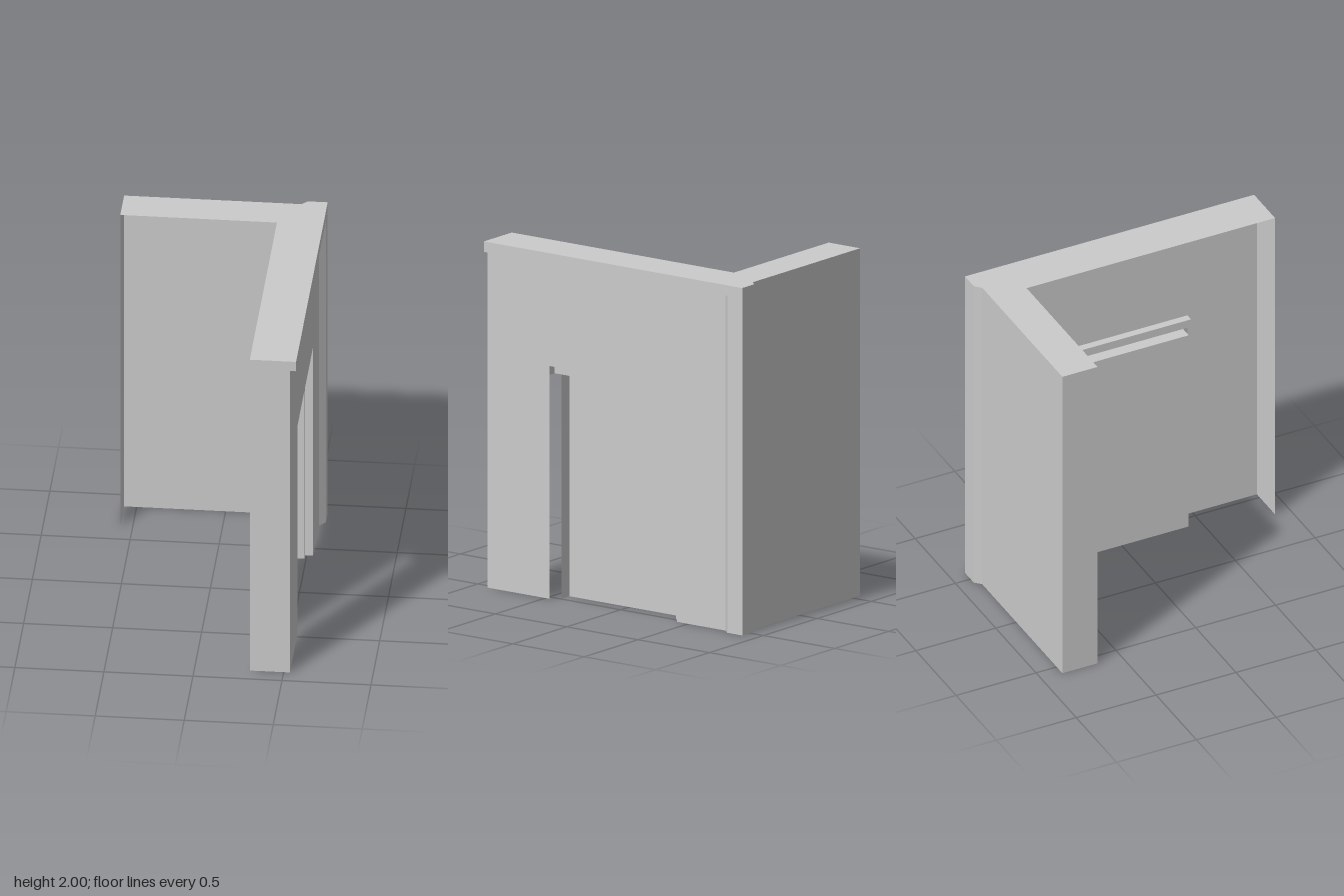
import * as THREE from 'three';

const material = new THREE.MeshStandardMaterial({ color: 0xcccccc, side: THREE.DoubleSide, flatShading: true });

// Main planes of the corner wall
const TOP = 2, RIM = 1.94;
const FACE = 0.535, RAISED = 0.57, INNER = 0.31;
const FRONT = 0.905, BACK = -0.87, BACK_RAISED = -0.905, BACK_INNER = -0.65, END = -0.57;
// Doorway: outer opening, door leaf and their depths
const OPEN = { front: 0.47, back: -0.42, top: 1.34 };
const DOOR = { front: 0.42, back: -0.38, top: 1.29 };
const FRAME_X = 0.49, DOOR_X = 0.42;

export function createModel() {
  const group = new THREE.Group();
  group.name = 'cornerWall';

  const add = (name, geometry) => {
    const mesh = new THREE.Mesh(geometry, material);
    mesh.name = name;
    group.add(mesh);
  };
  const flat = (points) => new THREE.ShapeGeometry(new THREE.Shape(points.map(([a, b]) => new THREE.Vector2(a, b))));

  // Vertical faces along a plan path of [x, z], outside on the right of travel
  const ribbon = (name, path, y0, y1) => {
    const pos = [];
    for (let i = 0; i < path.length - 1; i++) {
      const [ax, az] = path[i], [bx, bz] = path[i + 1];
      pos.push(ax, y0, az, bx, y0, bz, bx, y1, bz, ax, y0, az, bx, y1, bz, ax, y1, az);
    }
    const geometry = new THREE.BufferGeometry();
    geometry.setAttribute('position', new THREE.Float32BufferAttribute(pos, 3));
    geometry.computeVertexNormals();
    add(name, geometry);
  };
  // Face looking to +x, outlined in [z, y]
  const sideFace = (name, x, points) =>
    add(name, flat(points.map(([z, y]) => [-z, y])).rotateY(Math.PI / 2).translate(x, 0, 0));
  // Horizontal faces outlined in [x, z]
  const upFace = (name, y, points) =>
    add(name, flat(points.map(([x, z]) => [x, -z])).rotateX(-Math.PI / 2).translate(0, y, 0));
  const downFace = (name, y, points) =>
    add(name, flat(points).rotateX(Math.PI / 2).translate(0, y, 0));
  const rect = (x0, x1, z0, z1) => [[x0, z0], [x1, z0], [x1, z1], [x0, z1]];

  // Raised corner with chamfers on both walls
  const sideChamfer = [[FACE, -0.76], [RAISED, -0.8]];
  const corner = [[RAISED, -0.8], [RAISED, BACK_RAISED], [0.46, BACK_RAISED], [0.425, BACK]];
  ribbon('cornerChamfer', sideChamfer, 0, RIM);
  ribbon('cornerPost', corner, 0, TOP);
  downFace('cornerPostBase', 0, [...sideChamfer, ...corner.slice(1), [FACE, BACK]]);

  // Back wall and its free end
  ribbon('backWall', [[0.425, BACK], [END, BACK], [END, BACK_INNER]], 0, TOP);

  // Side wall with the doorway cut out
  sideFace('sideWall', FACE, [
    [FRONT, 0], [OPEN.front, 0], [OPEN.front, OPEN.top], [OPEN.back, OPEN.top],
    [OPEN.back, 0], [-0.76, 0], [-0.76, RIM], [FRONT, RIM],
  ]);
  ribbon('sideWallEnd', [[INNER, FRONT], [FACE, FRONT]], 0, TOP);

  // Projecting band along the top of the side wall
  ribbon('topBand', [[FACE, FRONT], [RAISED, FRONT], [RAISED, -0.8]], RIM, TOP);
  downFace('topBandUnderside', RIM, [[FACE, FRONT], [RAISED, FRONT], [RAISED, -0.8], [FACE, -0.76]]);

  // L-shaped top of both walls
  upFace('wallTop', TOP, [
    [INNER, FRONT], [RAISED, FRONT], ...corner, [END, BACK], [END, BACK_INNER], [INNER, BACK_INNER],
  ]);

  // Stepped door frame, open along the front side of the door
  sideFace('doorFrame', FRAME_X, [
    [OPEN.front, DOOR.top], [DOOR.back, DOOR.top], [DOOR.back, 0],
    [OPEN.back, 0], [OPEN.back, OPEN.top], [OPEN.front, OPEN.top],
  ]);
  ribbon('outerRevealBack', [[FRAME_X, OPEN.back], [FACE, OPEN.back]], 0, OPEN.top);
  ribbon('outerRevealFront', [[FACE, OPEN.front], [FRAME_X, OPEN.front]], DOOR.top, OPEN.top);
  downFace('outerRevealTop', OPEN.top, rect(FRAME_X, FACE, OPEN.back, OPEN.front));

  // Door leaf set deeper, with its reveals
  ribbon('doorRecess', [
    [FRAME_X, DOOR.front], [DOOR_X, DOOR.front], [DOOR_X, DOOR.back], [FRAME_X, DOOR.back],
  ], 0, DOOR.top);
  downFace('doorRecessTop', DOOR.top, rect(DOOR_X, FRAME_X, DOOR.back, DOOR.front));

  return group;
}
